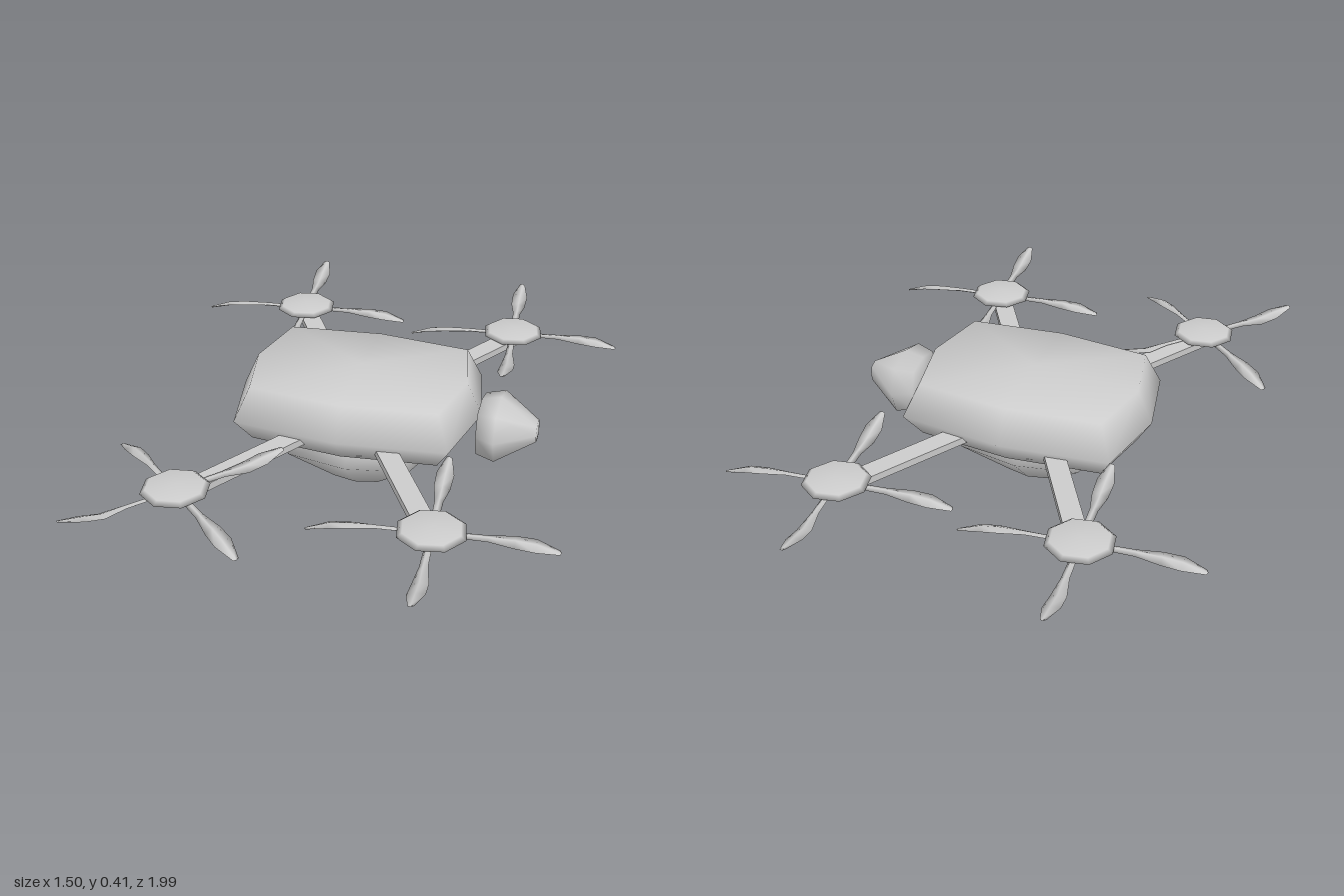
import * as THREE from 'three';

const grey = new THREE.MeshStandardMaterial({ color: 0xcccccc });
grey.name = 'plain grey';

// Closed smooth solid lofted along y. Each ring: [y, halfX, halfZ, diagonal factor, shiftZ].
// endLow and endHigh are the y of the cap centres.
function loft(rings, n, endLow, endHigh) {
  const pos = [], idx = [];
  for (const [y, a, b, k = Math.SQRT1_2, dz = 0] of rings) {
    for (let i = 0; i < n; i++) {
      const t = (i / n) * Math.PI * 2;
      const diagonal = n === 8 && i % 2 === 1;
      const c = diagonal ? Math.sign(Math.cos(t)) * k : Math.cos(t);
      const s = diagonal ? Math.sign(Math.sin(t)) * k : Math.sin(t);
      pos.push(a * c, y, b * s + dz);
    }
  }
  const last = rings.length - 1, low = rings.length * n, high = low + 1;
  pos.push(0, endLow, rings[0][4] || 0, 0, endHigh, rings[last][4] || 0);
  for (let r = 0; r < last; r++) {
    for (let i = 0; i < n; i++) {
      const j = (i + 1) % n, p = r * n, q = p + n;
      idx.push(p + i, q + i, p + j, p + j, q + i, q + j);
    }
  }
  for (let i = 0; i < n; i++) {
    const j = (i + 1) % n;
    idx.push(low, i, j, high, last * n + j, last * n + i);
  }
  const g = new THREE.BufferGeometry();
  g.setAttribute('position', new THREE.Float32BufferAttribute(pos, 3));
  g.setIndex(idx);
  g.computeVertexNormals();
  return g;
}

function add(parent, name, geometry, x = 0, y = 0, z = 0) {
  const mesh = new THREE.Mesh(geometry, grey);
  mesh.name = name;
  mesh.position.set(x, y, z);
  parent.add(mesh);
  return mesh;
}

// Blade reaching along +z; its tip bends up or down by the given amount
function bladeGeometry(bend) {
  const g = loft([
    [0.06, 0.011, 0.006, 0, 0],
    [0.16, 0.013, 0.006, 0, 0],
    [0.235, 0.025, 0.008, 0, 0.004],
    [0.295, 0.027, 0.007, 0, -bend * 0.35],
    [0.362, 0.009, 0.003, 0, -bend],
  ], 4, 0.06, 0.366);
  g.rotateY(0.2);
  g.rotateX(Math.PI / 2);
  return g;
}

export function createModel() {
  const model = new THREE.Group();
  model.name = 'quadcopter';

  // Main hull: faceted pillow with inset upper and lower corners
  add(model, 'body', loft([
    [0.2, 0.35, 0.24, 0.87],
    [0.28, 0.4, 0.295, 0.87],
    [0.39, 0.35, 0.25, 0.87],
  ], 8, 0.19, 0.408), 0, 0, -0.015);

  // Belly pod
  add(model, 'bellyPod', loft([
    [0.005, 0.1, 0.07, 0.75],
    [0.127, 0.253, 0.188, 0.8],
    [0.195, 0.22, 0.15, 0.8],
  ], 8, 0.0, 0.21), 0, 0, -0.003);

  // Sensor head on the left end, tapering outwards
  const sensor = loft([
    [0.4, 0.09, 0.092, 0.8],
    [0.462, 0.105, 0.122, 0.76],
    [0.583, 0.036, 0.033, 0.75],
  ], 8, 0.395, 0.587);
  sensor.rotateZ(-Math.PI / 2);
  add(model, 'sensorHead', sensor, 0, 0.253, -0.01);

  // Four arms and rotors
  const hub = loft([
    [-0.016, 0.07, 0.07],
    [0, 0.106, 0.106],
    [0.012, 0.09, 0.09],
  ], 8, -0.018, 0.019);
  hub.rotateY(Math.PI / 8 + 0.1);
  const bladeDown = bladeGeometry(-0.028), bladeUp = bladeGeometry(0.024);

  for (const side of [-1, 1]) {
    for (const end of [-1, 1]) {
      const x = side * 0.388, z = end > 0 ? 0.626 : -0.638;

      const from = new THREE.Vector3(side * 0.09, 0.243, end * 0.13);
      const to = new THREE.Vector3(x, 0.243, z);
      const arm = add(model, 'arm', new THREE.BoxGeometry(0.066, 0.024, from.distanceTo(to)));
      arm.position.copy(from).lerp(to, 0.5);
      arm.rotation.y = Math.atan2(to.x - from.x, to.z - from.z);

      const rotor = new THREE.Group();
      rotor.name = 'rotor';
      rotor.position.set(x, 0.266, z);
      // The front right rotor has stopped at a different angle
      rotor.rotation.y = side < 0 && end > 0 ? -0.72 : 0.096;
      add(rotor, 'rotorHub', hub);
      for (let i = 0; i < 4; i++) {
        const blade = add(rotor, 'rotorBlade', i % 2 ? bladeDown : bladeUp, 0, -0.006, 0);
        blade.rotation.y = (i * Math.PI) / 2;
      }
      model.add(rotor);
    }
  }
  return model;
}
